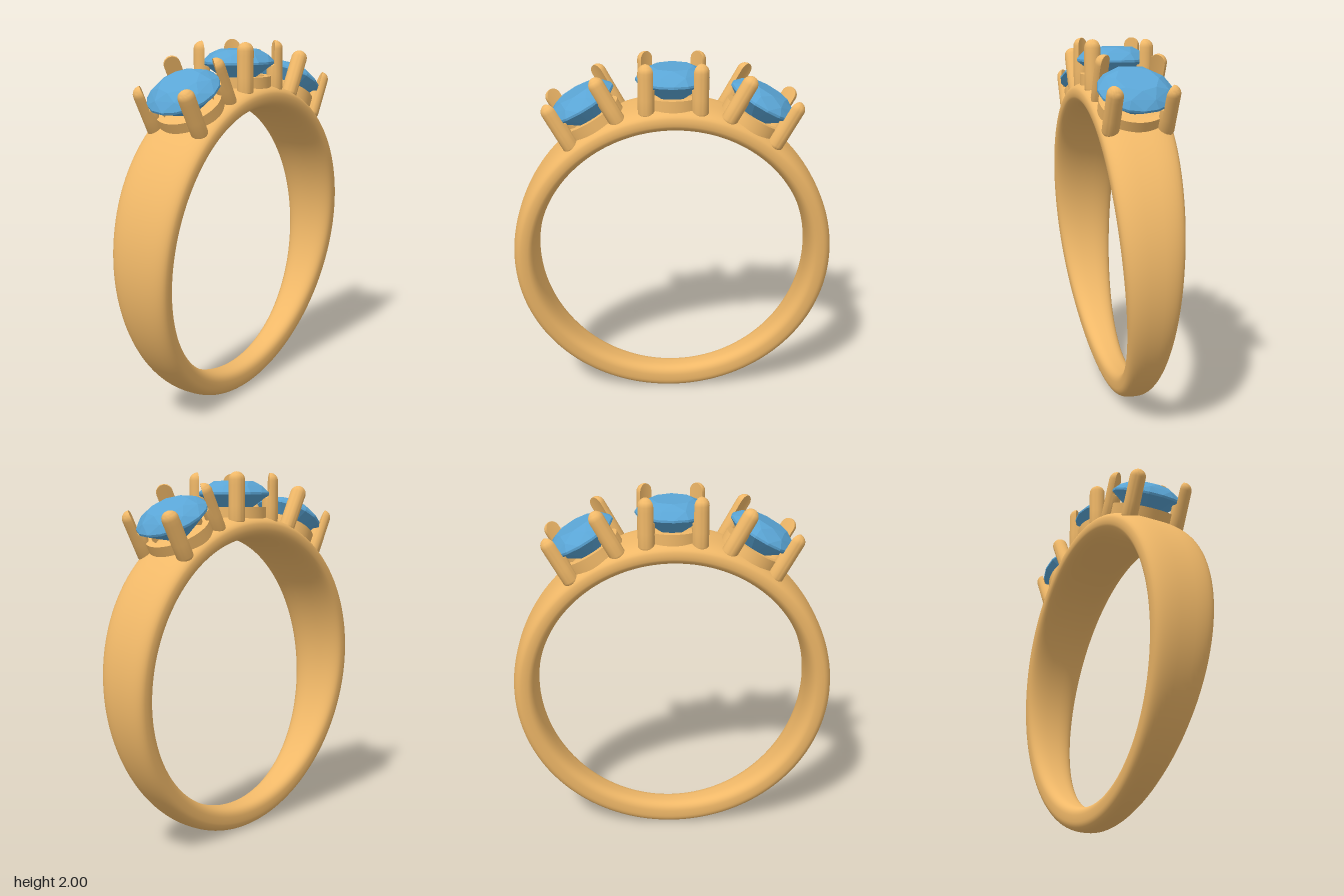
import * as THREE from 'three';
import { toCreasedNormals } from 'three/addons/utils/BufferGeometryUtils.js';
import { ConvexGeometry } from 'three/addons/geometries/ConvexGeometry.js';

const CENTRE_Y = 0.888;      // centre of the finger hole
const STONE_R = 0.196;
const gold = new THREE.MeshStandardMaterial({ color: 0xf0b868 });
const blue = new THREE.MeshStandardMaterial({ color: 0x5aa5d5, flatShading: true });

function part(name, geometry, material) {
  const mesh = new THREE.Mesh(geometry, material);
  mesh.name = name;
  return mesh;
}

// Band: a rounded section swept round the finger, narrowing towards the bottom
function bandGeometry() {
  const around = 144, section = 40, power = 2 / 2.8;
  const positions = [], indices = [];
  const soft = (v) => Math.sign(v) * Math.pow(Math.abs(v), power);
  for (let i = 0; i < around; i++) {
    const a = (i / around) * Math.PI * 2;
    const s = Math.sin(a), c = Math.cos(a);
    const half = 0.14 + 0.065 * c + 0.02 * s * s - 0.012 * s;
    const shift = -0.03 * ((1 - c) / 2) ** 2;
    for (let j = 0; j < section; j++) {
      const t = (j / section) * Math.PI * 2;
      const r = 0.8185 + 0.0675 * soft(Math.cos(t));
      positions.push(s * r, c * r, shift + half * soft(Math.sin(t)));
      const i2 = (i + 1) % around, j2 = (j + 1) % section;
      const p = i * section + j, q = i2 * section + j;
      const p2 = i * section + j2, q2 = i2 * section + j2;
      indices.push(p, p2, q, q, p2, q2);
    }
  }
  const g = new THREE.BufferGeometry();
  g.setAttribute('position', new THREE.Float32BufferAttribute(positions, 3));
  g.setIndex(indices);
  g.computeVertexNormals();
  return g;
}

// Stone: faceted crown, thin girdle and pointed pavilion
function stoneGeometry() {
  const points = [];
  const ring = (n, r, y, turn = 0) => {
    for (let i = 0; i < n; i++) {
      const a = ((i + turn) / n) * Math.PI * 2;
      points.push(new THREE.Vector3(r * Math.cos(a), y, r * Math.sin(a)));
    }
  };
  ring(8, 0.11, 1.066);
  ring(8, 0.162, 1.04, 0.5);
  ring(16, STONE_R, 1.004);
  ring(16, STONE_R, 0.992);
  ring(8, 0.105, 0.925, 0.5);
  points.push(new THREE.Vector3(0, 0.85, 0));
  return new ConvexGeometry(points);
}

// Prong: a round-ended post, cut away where the stone sits
function prongGeometry(x, z) {
  const r = 0.044, low = 0.855, high = 1.068;
  const profile = [];
  for (let i = 0; i <= 6; i++) {
    const a = (i / 6) * Math.PI / 2;
    profile.push(new THREE.Vector2(r * Math.sin(a), low - 0.03 * Math.cos(a)));
  }
  for (const y of [0.93, 0.975, 0.985, 0.995, 1.005, 1.02, 1.04]) profile.push(new THREE.Vector2(r, y));
  for (let i = 0; i <= 8; i++) {
    const a = (i / 8) * Math.PI / 2;
    profile.push(new THREE.Vector2(r * Math.cos(a), high + r * Math.sin(a)));
  }
  const g = new THREE.LatheGeometry(profile, 28);
  g.translate(x, 0, z);
  const p = g.attributes.position;
  for (let i = 0; i < p.count; i++) {
    const d = Math.hypot(p.getX(i), p.getZ(i));
    if (p.getY(i) > 0.98 && d < STONE_R) {
      p.setX(i, p.getX(i) * STONE_R / d);
      p.setZ(i, p.getZ(i) * STONE_R / d);
    }
  }
  return toCreasedNormals(g, 0.7);
}

// Collar: a short hollow cup below the stone
function collarGeometry() {
  const outline = [[0.14, 0.82], [0.178, 0.82], [0.178, 0.925], [0.14, 0.925], [0.14, 0.82]];
  const g = new THREE.LatheGeometry(outline.map(([r, y]) => new THREE.Vector2(r, y)), 48);
  return toCreasedNormals(g, 0.6);
}

function setting(name, angle) {
  const group = new THREE.Group();
  group.name = name;
  group.add(part('collar', collarGeometry(), gold), part('stone', stoneGeometry(), blue));
  for (const sx of [-1, 1]) {
    for (const sz of [-1, 1]) {
      const label = (sz > 0 ? 'front' : 'back') + (sx > 0 ? 'Left' : 'Right') + 'Prong';
      group.add(part(label, prongGeometry(sx * 0.14, sz * 0.142), gold));
    }
  }
  group.rotation.z = angle;
  return group;
}

export function createModel() {
  const ring = new THREE.Group();
  ring.name = 'ring';
  ring.add(part('band', bandGeometry(), gold));
  // Three settings fanned out over the top of the band
  const tilt = THREE.MathUtils.degToRad(29);
  ring.add(setting('rightSetting', tilt), setting('centreSetting', 0), setting('leftSetting', -tilt));
  ring.position.y = CENTRE_Y;
  const model = new THREE.Group();
  model.name = 'threeStoneRing';
  model.add(ring);
  return model;
}
